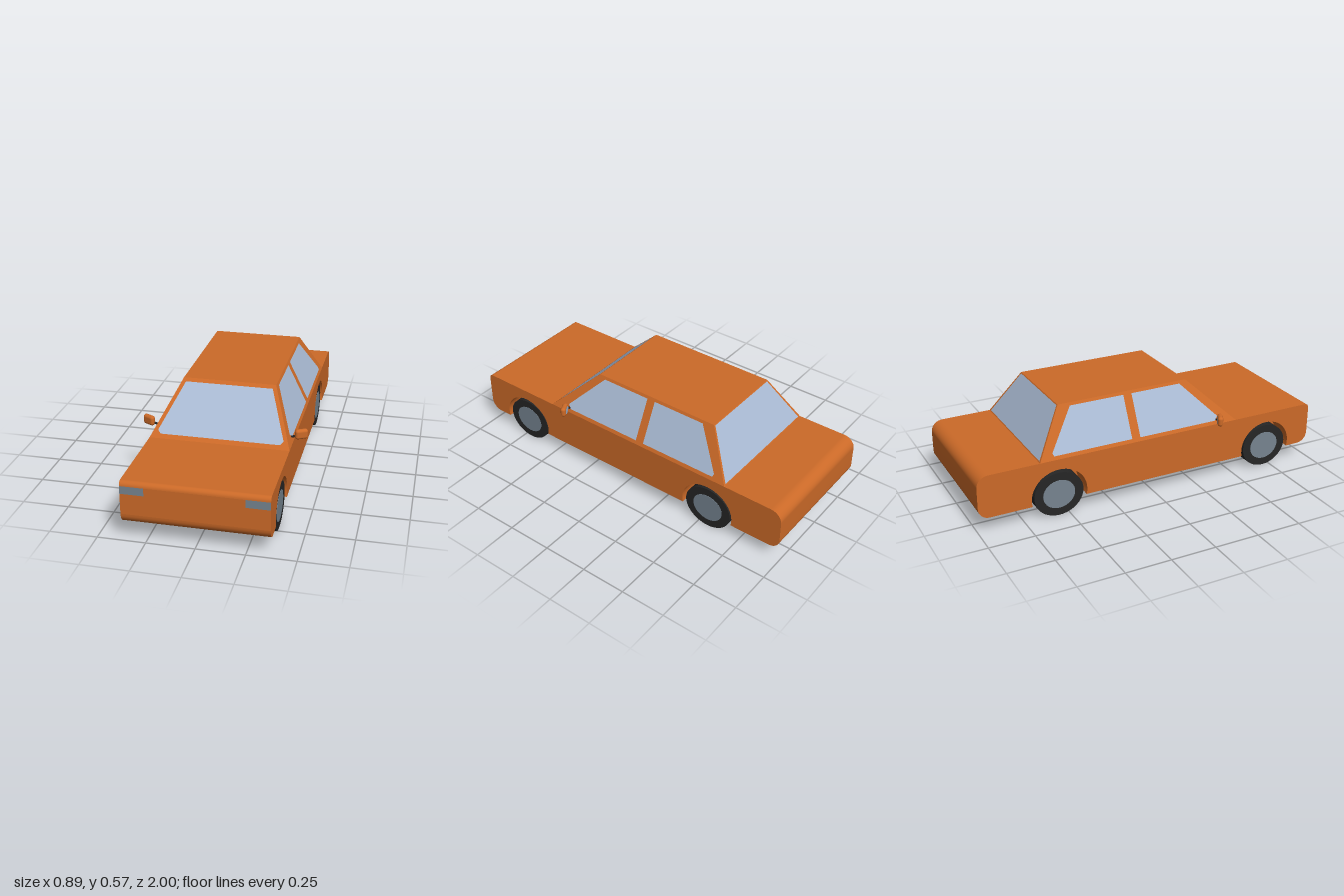
import * as THREE from 'three';
import { RoundedBoxGeometry } from 'three/addons/geometries/RoundedBoxGeometry.js';

const paint = (color) => new THREE.MeshStandardMaterial({ color, side: THREE.DoubleSide });
const BODY = paint(0xcc6a28), GLASS = paint(0xaabbd4), LAMP = paint(0x768490), BLACK = paint(0x262626);

// Main dimensions
const W = 0.371, SILL = 0.09, BELT = 0.327, ROOF = 0.573, ROOF_W = 0.25;
const AXLE_Y = 0.123, AXLES = [0.71, -0.557];

function add(parent, name, geometry, material) {
  const mesh = new THREE.Mesh(geometry, material);
  mesh.name = name;
  parent.add(mesh);
  return mesh;
}

// Flat outline with holes, placed in space by a rule (u, v) -> [x, y, z]
function panel(points, holes, place) {
  const toVectors = (list) => list.map(([u, v]) => new THREE.Vector2(u, v));
  const shape = new THREE.Shape(toVectors(points));
  shape.holes = holes.map((h) => new THREE.Path(toVectors(h)));
  const geometry = new THREE.ShapeGeometry(shape);
  const pos = geometry.attributes.position;
  for (let i = 0; i < pos.count; i++) pos.setXYZ(i, ...place(pos.getX(i), pos.getY(i)));
  geometry.computeVertexNormals();
  return geometry;
}

// Sheet swept across x from a [z, y] profile
function sheet(profile, x0, x1) {
  const geometry = new THREE.PlaneGeometry(1, 1, 1, profile.length - 1);
  const pos = geometry.attributes.position;
  profile.forEach(([z, y], i) => {
    pos.setXYZ(2 * i, x0, y, z);
    pos.setXYZ(2 * i + 1, x1, y, z);
  });
  geometry.computeVertexNormals();
  return geometry;
}

// Elliptical arc as [z, y] points
function arc(cz, cy, rz, ry, a0, a1, n) {
  return Array.from({ length: n + 1 }, (_, i) => {
    const a = a0 + ((a1 - a0) * i) / n;
    return [cz + rz * Math.cos(a), cy + ry * Math.sin(a)];
  });
}

// Wheel arch from front to rear, ending on the sill line
const ARCH_R = 0.147;
const dip = Math.asin((AXLE_Y - SILL) / ARCH_R);
const arch = (z) => arc(z, AXLE_Y, 0.156, ARCH_R, -dip, Math.PI + dip, 28);

// End profiles: top edge, rounded corners, lower lip
const H = Math.PI / 2;
const frontProfile = [
  [0.505, BELT],
  ...arc(0.975, BELT - 0.025, 0.025, 0.025, H, 0, 6),
  ...arc(0.94, SILL + 0.06, 0.06, 0.06, 0, -H, 8),
];
const rearProfile = [
  [-0.66, BELT],
  ...arc(-0.935, BELT - 0.06, 0.065, 0.06, H, 2 * H, 8),
  ...arc(-0.94, SILL + 0.06, 0.06, 0.06, 2 * H, 3 * H, 8),
];

// Sloping planes of the cabin
const rise = (y) => (y - BELT) / (ROOF - BELT);
const onWindscreen = (x, y) => [x, y, 0.505 - 0.26 * rise(y)];
const onRear = (x, y) => [-x, y, -0.66 + 0.155 * rise(y)];
const onCabinSide = (u, y) => [W - (W - ROOF_W) * rise(y), y, -u];
const flip = (points) => points.map(([z, y]) => [-z, y]);
const mirrored = (half) => [...half, ...half.map(([x, y]) => [-x, y]).reverse()];

// Everything that is repeated on the left and right
function createSide() {
  const side = new THREE.Group();

  // Lower side with both wheel arches cut out
  const outline = [
    ...frontProfile.slice(1), ...arch(AXLES[0]), ...arch(AXLES[1]),
    ...rearProfile.slice(1).reverse(),
  ];
  add(side, 'bodySide', panel(flip(outline), [], (u, y) => [W, y, -u]), BODY);

  // Cabin side with two windows
  const windows = [
    [[0.375, 0.345], [0.395, 0.366], [0.205, 0.558], [-0.085, 0.558], [-0.085, 0.345]],
    [[-0.133, 0.345], [-0.133, 0.558], [-0.44, 0.558], [-0.585, 0.36], [-0.578, 0.345]],
  ].map(flip);
  const frame = flip([[0.505, BELT], [0.245, ROOF], [-0.505, ROOF], [-0.66, BELT]]);
  add(side, 'cabinSide', panel(frame, windows, onCabinSide), BODY);
  windows.forEach((w) => add(side, 'sideWindow', panel(w, [], onCabinSide), GLASS));

  // Wheels and wheel wells
  for (const z of AXLES) {
    add(side, 'wheelWell', sheet(arch(z), 0.25, W), BODY);
    add(side, 'wheelWellInner', panel(flip(arch(z)), [], (u, y) => [0.25, y, -u]), BODY);

    const wheel = new THREE.Group();
    wheel.name = 'wheel';
    wheel.position.set(0.318, AXLE_Y, z);
    wheel.scale.set(1, 0.123, 0.138);
    add(wheel, 'tyre', new THREE.CylinderGeometry(1, 1, 0.087, 40).rotateZ(H), BLACK);
    add(wheel, 'hub', new THREE.CylinderGeometry(0.65, 0.65, 0.09, 40).rotateZ(H), LAMP);
    side.add(wheel);
  }

  // Headlight
  const lamp = [[0.25, 0.26], [W, 0.26], [W, 0.302], [0.25, 0.302]];
  add(side, 'headlight', panel(lamp, [], (x, y) => [x, y, 1]), LAMP);

  // Door mirror on a short arm
  const stalk = new THREE.LineCurve3(
    new THREE.Vector3(0.352, 0.348, 0.385), new THREE.Vector3(0.395, 0.361, 0.385));
  add(side, 'mirrorArm', new THREE.TubeGeometry(stalk, 1, 0.006, 8), BLACK);
  const mirror = new THREE.Group();
  mirror.name = 'doorMirror';
  mirror.position.set(0.41, 0.368, 0.378);
  mirror.rotation.y = 0.48;
  add(mirror, 'mirrorShell', new RoundedBoxGeometry(0.07, 0.054, 0.03, 4, 0.0145), BODY);
  const face = add(mirror, 'mirrorGlass', new THREE.CircleGeometry(1, 24), GLASS);
  face.scale.set(0.027, 0.02, 1);
  face.rotation.y = Math.PI;
  face.position.z = -0.0155;
  side.add(mirror);
  return side;
}

export function createModel() {
  const car = new THREE.Group();
  car.name = 'car';

  // Bonnet and nose, boot and tail; the underside stays open
  const lampHole = [[0.25, 0.26], [W, 0.26], [W, 0.302], [0.25, 0.302]];
  const nose = [[-W, 0.15], [W, 0.15], lampHole[1], lampHole[0], lampHole[3], lampHole[2],
    [-W, 0.302], [-0.25, 0.302], [-0.25, 0.26], [-W, 0.26]];
  add(car, 'bonnet', sheet(frontProfile.slice(0, 8), -W, W), BODY);
  add(car, 'nose', panel(nose, [], (x, y) => [x, y, 1]), BODY);
  add(car, 'frontLip', sheet(frontProfile.slice(8), -W, W), BODY);
  add(car, 'bootAndTail', sheet(rearProfile, W, -W), BODY);

  // Roof
  add(car, 'roof', sheet([[-0.505, ROOF], [0.245, ROOF]], -ROOF_W, ROOF_W), BODY);

  // Windscreen and rear window in their frames
  const frame = mirrored([[W, BELT], [ROOF_W, ROOF]]);
  const screen = mirrored([[0.317, 0.345], [0.333, 0.36], [0.235, 0.557]]);
  const rear = mirrored([[0.355, 0.332], [0.243, 0.568]]);
  add(car, 'windscreenFrame', panel(frame, [screen], onWindscreen), BODY);
  add(car, 'windscreen', panel(screen, [], onWindscreen), GLASS);
  add(car, 'rearWindowFrame', panel(frame, [rear], onRear), BODY);
  add(car, 'rearWindow', panel(rear, [], onRear), GLASS);

  // Left side and its mirror image
  for (const s of [1, -1]) {
    const side = createSide();
    side.name = s > 0 ? 'leftSide' : 'rightSide';
    side.scale.x = s;
    car.add(side);
  }
  return car;
}
